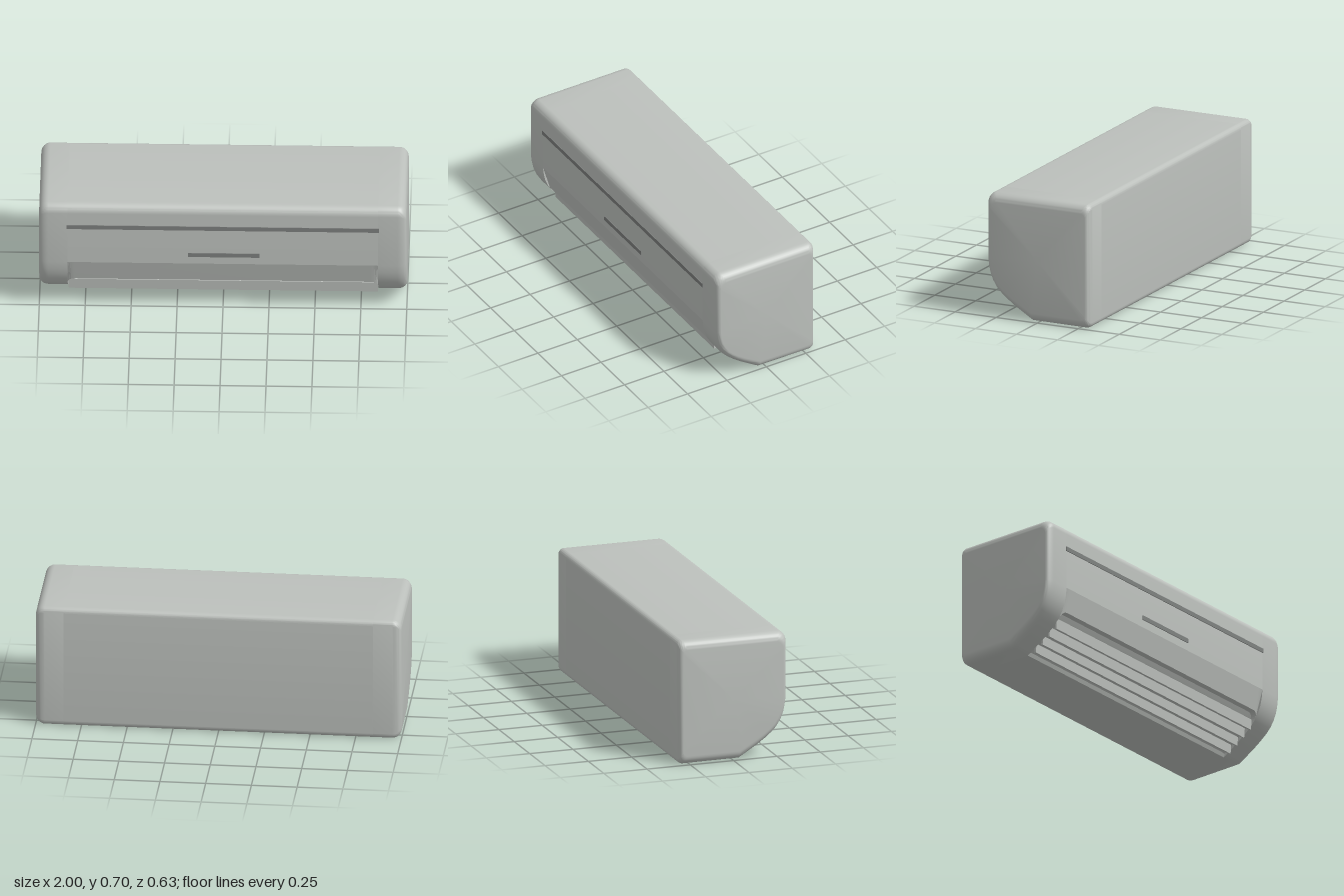
import * as THREE from 'three';
import { toCreasedNormals } from 'three/addons/utils/BufferGeometryUtils.js';

const EDGE = 0.845; // half width of the air outlet

// front curve as [y, z], from the flat panel down to the underside
const FRONT = [[0.33, 0.312], [0.28, 0.306], [0.24, 0.297], [0.2, 0.281], [0.16, 0.256], [0.13, 0.227],
  [0.1, 0.19], [0.07, 0.148], [0.04, 0.1], [0.02, 0.068], [0.003, 0.04]];

function frontZ(y) {
  for (let i = 1; i < FRONT.length; i++) {
    const [y0, z0] = FRONT[i - 1], [y1, z1] = FRONT[i];
    if (y >= y1) return z0 + (z1 - z0) * (y0 - y) / (y0 - y1);
  }
  return 0.04;
}

function arc(cz, cy, r, from, to) {
  const pts = [];
  for (let i = 0; i <= 10; i++) {
    const a = THREE.MathUtils.degToRad(from + (to - from) * i / 10);
    pts.push([cz + r * Math.cos(a), cy + r * Math.sin(a)]);
  }
  return pts;
}

// closed [z, y] section around the given front points
const section = front => [
  ...arc(0.262, 0.65, 0.05, 90, 0), ...front,
  ...arc(-0.283, 0.031, 0.03, 270, 180), ...arc(-0.283, 0.67, 0.03, 180, 90),
];

const fullSection = () => section(FRONT.map(([y, z]) => [z, y]));

// section with the outlet cut back below lipY
function outletSection(lipY) {
  const front = [[0.312, 0.33], [frontZ(lipY), lipY]];
  for (let i = 0; i <= 10; i++) {
    const y = lipY + (0.003 - lipY) * i / 10;
    front.push([frontZ(y) - 0.035 * Math.min(1, (y - 0.003) / 0.03), y]);
  }
  return section(front);
}

// skin over stations { x, pts } given in order of rising x
function loft(stations, capped, crease) {
  const pos = [];
  const tri = (...v) => v.forEach(p => pos.push(...p));
  const rings = stations.map(({ x, pts }) => pts.map(([z, y]) => [x, y, z]));
  const n = rings[0].length;
  for (let i = 0; i < rings.length - 1; i++) {
    for (let j = 0; j < n; j++) {
      const k = (j + 1) % n;
      const a = rings[i][j], b = rings[i][k], c = rings[i + 1][k], d = rings[i + 1][j];
      tri(a, b, c);
      tri(a, c, d);
    }
  }
  if (capped) {
    const first = rings[0], last = rings[rings.length - 1];
    for (let j = 0; j < n; j++) {
      const k = (j + 1) % n;
      tri([first[0][0], 0.35, 0], first[k], first[j]);
      tri([last[0][0], 0.35, 0], last[j], last[k]);
    }
  }
  const g = new THREE.BufferGeometry();
  g.setAttribute('position', new THREE.Float32BufferAttribute(pos, 3));
  return toCreasedNormals(g, crease);
}

export function createModel() {
  const model = new THREE.Group();
  model.name = 'wallAirConditioner';
  const casing = new THREE.MeshStandardMaterial({ name: 'casing grey', color: 0xbcc0bc });
  const trim = new THREE.MeshStandardMaterial({ name: 'trim grey', color: 0x7d807e });

  const add = (name, geometry, material, x = 0, y = 0, z = 0) => {
    const m = new THREE.Mesh(geometry, material);
    m.name = name;
    m.position.set(x, y, z);
    model.add(m);
    return m;
  };

  // middle casing, with rounded upper corners on the outlet
  const middle = [];
  for (let i = 0; i <= 6; i++) {
    const a = i / 6 * Math.PI / 2;
    middle.push({ x: -EDGE + 0.04 * (1 - Math.cos(a)), pts: outletSection(0.162 + 0.04 * Math.sin(a)) });
  }
  const mirrored = middle.map(s => ({ x: -s.x, pts: s.pts })).reverse();
  add('middleCasing', loft([...middle, ...mirrored], false, 0.225), casing);

  // rounded end casings
  const end = [{ x: EDGE, pts: fullSection() }];
  for (let i = 0; i <= 8; i++) {
    const a = i / 8 * Math.PI / 2, inset = 1 - Math.cos(a);
    const sz = 1 - 0.08 * inset, sy = 1 - 0.14 * inset;
    end.push({
      x: 0.95 + 0.05 * Math.sin(a),
      pts: fullSection().map(([z, y]) => [z * sz, 0.35 + (y - 0.35) * sy]),
    });
  }
  add('leftEndCasing', loft(end, true, 0.6), casing);
  add('rightEndCasing', loft(end.map(s => ({ x: -s.x, pts: s.pts })).reverse(), true, 0.6), casing);

  // front trim strips
  add('upperTrimStrip', new THREE.BoxGeometry(1.7, 0.025, 0.012), trim, 0, 0.563, 0.31);
  add('centreTrimStrip', new THREE.BoxGeometry(0.39, 0.025, 0.012), trim, 0.005, 0.388, 0.31);

  // outlet louvres stepping down along the curve
  for (let i = 0; i < 4; i++) {
    const louvre = add('louvre' + (i + 1), new THREE.BoxGeometry(2 * EDGE - 0.01, 0.06, 0.011), casing,
      0, 0.14 - i * 0.034, 0.232 - i * 0.0475);
    louvre.rotation.x = 0.08;
  }
  return model;
}
